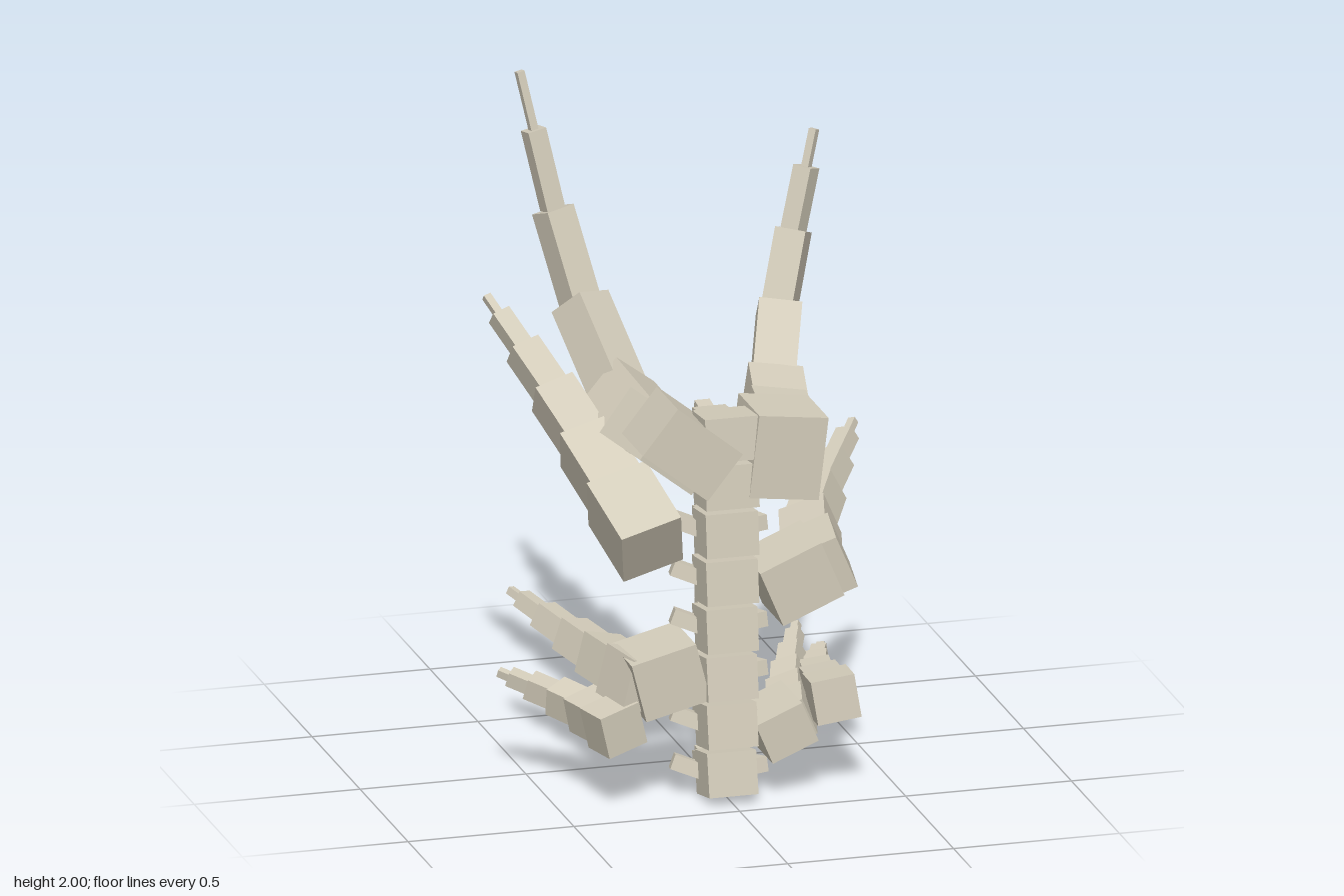
import * as THREE from 'three';

const bone = new THREE.MeshStandardMaterial({ color: 0xd3ccba });
bone.name = 'bone';

function block(parent, name, size, position, rotation = [0, 0, 0]) {
  const mesh = new THREE.Mesh(new THREE.BoxGeometry(...size), bone);
  mesh.name = name;
  mesh.position.set(...position);
  mesh.rotation.set(...rotation);
  parent.add(mesh);
  return mesh;
}

// Square block running from p to q, rolled so that one side faces the up hint
function segment(parent, p, q, width, up) {
  const dir = q.clone().sub(p);
  const length = dir.length();
  dir.normalize();
  const side = new THREE.Vector3().crossVectors(up, dir).normalize();
  const top = new THREE.Vector3().crossVectors(dir, side);
  const centre = p.clone().add(q).multiplyScalar(0.5);
  const mesh = block(parent, 'ribSegment', [width, width, length], centre.toArray());
  mesh.quaternion.setFromRotationMatrix(new THREE.Matrix4().makeBasis(side, top, dir));
}

// Tapering chain of blocks along a curve; the blocks get shorter and thinner to the tip
function rib(name, width, roll, path, count = 6, ease = 1.5) {
  const group = new THREE.Group();
  group.name = name;
  const curve = new THREE.CatmullRomCurve3(path.map((p) => new THREE.Vector3(...p)));
  const up = new THREE.Vector3(-Math.sin(roll), Math.cos(roll), 0);
  const joint = (i) => curve.getPointAt(1 - (1 - i / count) ** ease);
  for (let i = 0; i < count; i++) {
    const w = THREE.MathUtils.lerp(width, 0.023, i / (count - 1));
    segment(group, joint(i), joint(i + 1), w, up);
  }
  return group;
}

// Block joining a rib to the spine
function root(group, x, y, length, height, roll) {
  block(group, 'ribRoot', [length, height, 0.22], [x, y, 0.3], [0, 0, roll]);
  return group;
}

// Horn: a rib with a root and a heavy elbow block, turned outward by yaw, at its start
function horn(name, roll, yaw, ease, x, y, length, path) {
  const group = root(rib(name, 0.16, roll, path, 5, ease), x, y, length, 0.25, roll);
  const [ex, ey, ez] = path[0];
  block(group, 'hornElbow', [0.16, 0.21, 0.28], [ex, ey, ez], [0, yaw, roll]);
  return group;
}

// Stacked vertebrae, each leaning back, with side and rear processes
function createSpine() {
  const spine = new THREE.Group();
  spine.name = 'spine';
  for (let i = 0; i < 8; i++) {
    const v = new THREE.Group();
    v.name = 'vertebra';
    v.position.set(0.001 * i, 0.079 + i * 0.1455, 0.362 - i * 0.004);
    v.rotation.x = -0.2 + i * 0.015;
    block(v, 'vertebraBody', [0.148 + i * 0.002, 0.13, 0.135], [0, 0, 0]);
    block(v, 'vertebraArch', [0.1, 0.075, 0.12], [0, 0.01, -0.12]);
    block(v, 'rearProcess', [0.046, 0.05, 0.1], [0, 0.015, -0.205], [0.25, 0, 0]);
    block(v, 'leftProcess', [0.12, 0.045, 0.06], [0.075, 0, -0.07], [0, 0.2, 0.08]);
    block(v, 'rightProcess', [0.13, 0.045, 0.06], [-0.08, 0.01, -0.07], [0, -0.2, -0.4]);
    spine.add(v);
  }
  return spine;
}

export function createModel() {
  const model = new THREE.Group();
  model.name = 'ribcage';
  model.add(createSpine());

  // Two tall horns sweeping back and up
  model.add(horn('rightHorn', 0.9, 0.15, 1.25, -0.115, 1.07, 0.17,
    [[-0.15, 1.05, 0.2], [-0.2, 1.14, -0.18], [-0.28, 1.45, -0.34], [-0.395, 2, -0.43]]));
  model.add(horn('leftHorn', -0.12, -0.15, 1.42, 0.175, 1.035, 0.21,
    [[0.21, 1.03, 0.2], [0.29, 1.12, -0.17], [0.37, 1.38, -0.29], [0.47, 1.77, -0.35]]));

  // Ribs attached to the spine
  model.add(root(rib('upperLeftRib', 0.17, 0.4,
    [[0.28, 0.66, 0.37], [0.35, 0.7, 0.02], [0.575, 0.885, -0.305]]), 0.215, 0.645, 0.2, 0.18, 0.4));
  model.add(root(rib('middleRightRib', 0.15, -0.25,
    [[-0.23, 0.36, 0.37], [-0.32, 0.38, 0], [-0.47, 0.475, -0.27]]), -0.18, 0.38, 0.2, 0.18, 0.25));
  model.add(root(rib('lowerLeftRib', 0.12, 0.4,
    [[0.2, 0.2, 0.34], [0.27, 0.245, 0.07], [0.35, 0.345, -0.12]]), 0.17, 0.195, 0.15, 0.13, 0.4));

  // Loose ribs
  model.add(rib('upperRightRib', 0.19, 0.25,
    [[-0.23, 0.785, 0.385], [-0.345, 1.05, -0.08], [-0.505, 1.335, -0.395]]));
  model.add(rib('lowerRightRib', 0.13, 0.25,
    [[-0.32, 0.245, 0.4], [-0.4, 0.255, 0.15], [-0.585, 0.325, 0.01]]));
  model.add(rib('middleLeftRib', 0.13, 0.15,
    [[0.32, 0.28, 0.4], [0.36, 0.25, 0.05], [0.43, 0.265, -0.14]]));
  return model;
}
